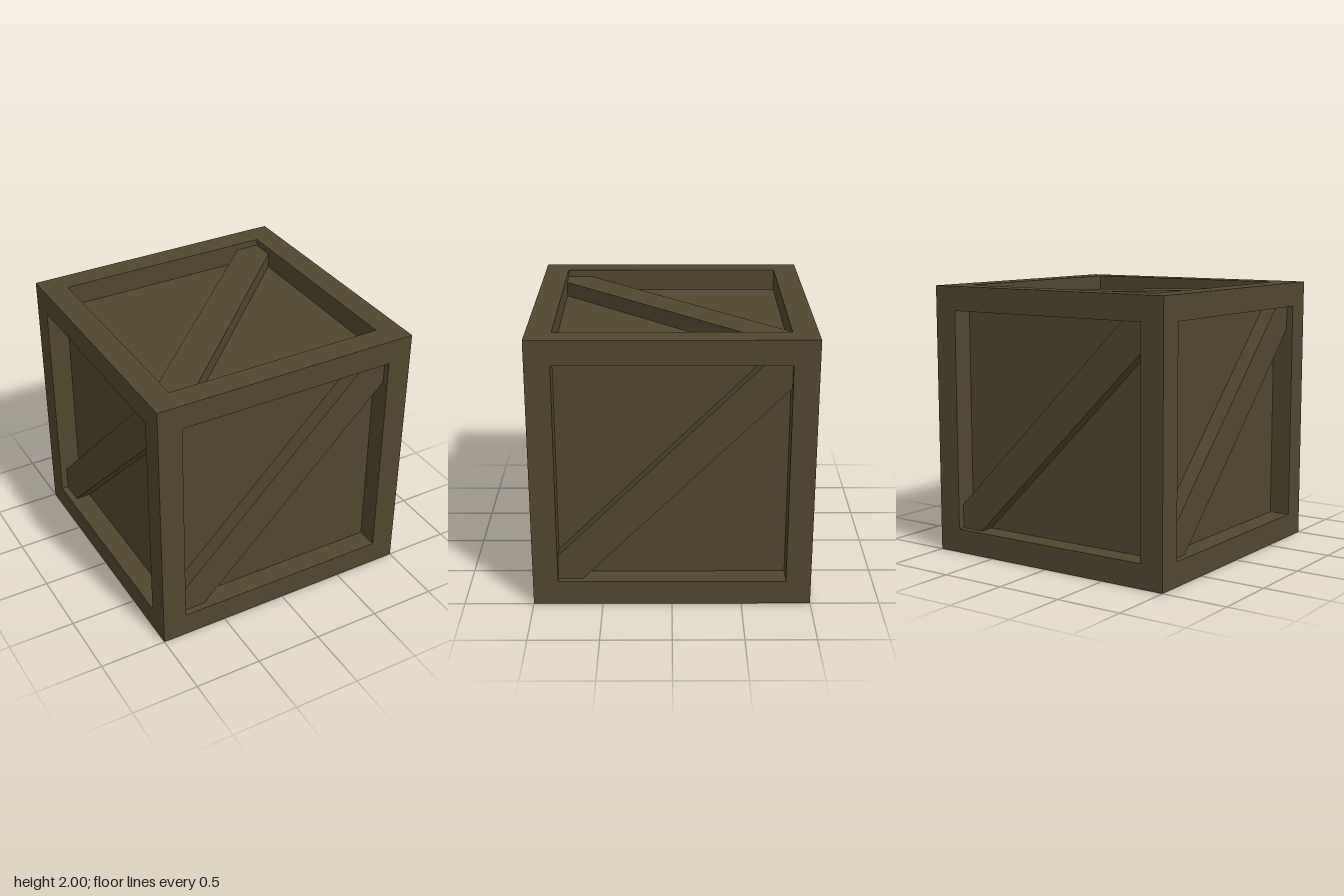
import * as THREE from 'three';

const HALF = 1;        // half the crate's size
const BEAM = 0.18;     // beam thickness
const INNER = HALF - BEAM;
const PANEL = 0.84;    // distance from centre to the recessed panels
const BRACE = 0.95;    // distance from centre to the brace surface

export function createModel() {
  const wood = new THREE.MeshStandardMaterial({ color: 0x51472f });
  wood.name = 'dark wood';

  const crate = new THREE.Group();
  crate.name = 'crate';
  const body = new THREE.Group();
  body.name = 'body';
  body.position.y = HALF;
  crate.add(body);

  const add = (parent, name, geometry, x = 0, y = 0, z = 0) => {
    const mesh = new THREE.Mesh(geometry, wood);
    mesh.name = name;
    mesh.position.set(x, y, z);
    parent.add(mesh);
  };

  // Inner box whose six sides are the recessed panels
  add(body, 'panels', new THREE.BoxGeometry(PANEL * 2, PANEL * 2, PANEL * 2));

  // Frame: full-height posts, with rails fitted between them
  const post = new THREE.BoxGeometry(BEAM, HALF * 2, BEAM);
  const railX = new THREE.BoxGeometry(INNER * 2, BEAM, BEAM);
  const railZ = new THREE.BoxGeometry(BEAM, BEAM, INNER * 2);
  const c = HALF - BEAM / 2;
  for (const a of [-c, c]) {
    for (const b of [-c, c]) {
      add(body, 'cornerPost', post, a, 0, b);
      add(body, 'crossRail', railX, 0, a, b);
      add(body, 'sideRail', railZ, a, b, 0);
    }
  }

  // Diagonal brace, its ends cut square to fit the frame corners
  const i = INNER, k = INNER - BEAM;
  const outline = new THREE.Shape(
    [[-i, -i], [-k, -i], [i, k], [i, i], [k, i], [-i, -k]].map(([x, y]) => new THREE.Vector2(x, y))
  );
  const brace = new THREE.ExtrudeGeometry(outline, { depth: BRACE - PANEL, bevelEnabled: false });

  // One brace on each face
  const q = Math.PI / 2;
  const faces = {
    front: [0, 0], left: [0, q], back: [0, 2 * q], right: [0, -q], top: [-q, 0], bottom: [q, 0],
  };
  for (const [name, [rx, ry]] of Object.entries(faces)) {
    const face = new THREE.Group();
    face.name = name + 'Face';
    face.rotation.set(rx, ry, 0);
    add(face, name + 'Brace', brace, 0, 0, PANEL);
    body.add(face);
  }

  return crate;
}
